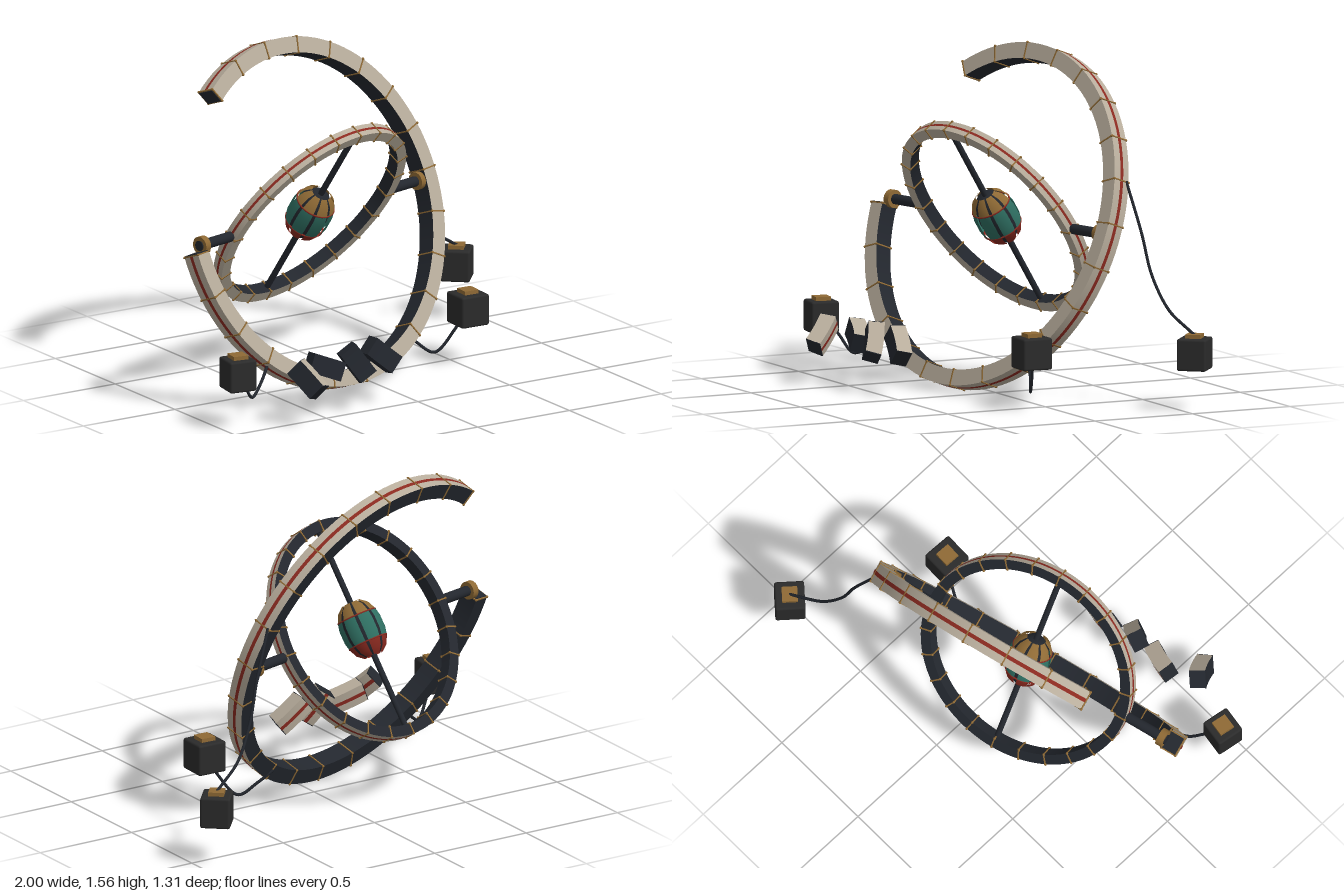
import * as THREE from 'three';
import { RoundedBoxGeometry } from 'three/addons/geometries/RoundedBoxGeometry.js';

const rad = THREE.MathUtils.degToRad;
const mat = (color) => new THREE.MeshStandardMaterial({ color });
const CREAM = mat(0xb8ad9c), DARK = mat(0x23272e), RED = mat(0x8b2a20);
const TEAL = mat(0x2f6f62), BRASS = mat(0x8f6a35), BLOCK = mat(0x2b2b2b);
const V = (x, y, z) => new THREE.Vector3(x, y, z);

function add(parent, name, geometry, material, x = 0, y = 0, z = 0) {
  const m = new THREE.Mesh(geometry, material);
  m.name = name;
  m.position.set(x, y, z);
  parent.add(m);
  return m;
}

function group(parent, name, x = 0, y = 0, z = 0) {
  const g = new THREE.Group();
  g.name = name;
  g.position.set(x, y, z);
  parent.add(g);
  return g;
}

// One curved ring segment in the xy plane: pale front and rim, dark inside and back, red rim stripe
function ringSegment(parent, s, start, length) {
  const { rIn, rOut, d } = s;
  const strip = (name, material, r0, z0, r1, z1) => {
    const pts = [new THREE.Vector2(r0, z0), new THREE.Vector2(r1, z1)];
    const g = new THREE.LatheGeometry(pts, 5, start + Math.PI / 2, length);
    add(parent, name, g.rotateX(Math.PI / 2), material);
  };
  strip('segmentRim', CREAM, rOut, -d, rOut, d);
  strip('segmentFront', CREAM, rOut, d, rIn, d);
  strip('segmentInside', DARK, rIn, d, rIn, -d);
  strip('segmentBack', DARK, rIn, -d, rOut, -d);
  strip('rimStripe', RED, rOut + 0.0015, -d * 0.2, rOut + 0.0015, d * 0.2);
}

// Thin collar wrapped round the section, with a stud at each corner
function seam(parent, s, angle) {
  const g = group(parent, 'seam');
  g.rotation.z = angle;
  const mid = (s.rIn + s.rOut) / 2, w = s.rOut - s.rIn;
  add(g, 'seamCollar', new THREE.BoxGeometry(w + 0.007, 0.006, 2 * s.d + 0.007), BRASS, mid);
  for (const r of [s.rIn, s.rOut]) for (const z of [-s.d, s.d])
    add(g, 'seamStud', new THREE.IcosahedronGeometry(0.007, 0), BRASS, r, 0, z);
}

function ring(parent, s, start, sweep, count) {
  const step = sweep / count;
  for (let i = 0; i < count; i++) {
    ringSegment(parent, s, start + i * step, step);
    seam(parent, s, start + i * step);
  }
}

// Lantern core: dark barrel covered by separate curved panels in three colour bands
function buildCore(parent) {
  const core = group(parent, 'core');
  const n = 8, gap = 0.16;
  const bands = [
    ['lowerPanel', RED, [[0.045, -0.13], [0.075, -0.105], [0.093, -0.066]]],
    ['middlePanel', TEAL, [[0.094, -0.062], [0.101, -0.03], [0.101, 0.03], [0.094, 0.062]]],
    ['upperPanel', BRASS, [[0.093, 0.066], [0.075, 0.105], [0.045, 0.13]]],
  ];
  for (const [name, material, pts] of bands) {
    const panelMat = material.clone();
    panelMat.side = THREE.DoubleSide;
    const profile = pts.map((p) => new THREE.Vector2(p[0], p[1]));
    for (let i = 0; i < n; i++) {
      const a = (i / n) * Math.PI * 2 + gap / 2;
      add(core, name, new THREE.LatheGeometry(profile, 4, a, (Math.PI * 2) / n - gap), panelMat);
    }
  }
  const inner = [[0, -0.125], [0.04, -0.125], [0.075, -0.08], [0.085, 0], [0.075, 0.08], [0.04, 0.125], [0, 0.125]];
  add(core, 'coreBarrel', new THREE.LatheGeometry(inner.map((p) => new THREE.Vector2(p[0], p[1])), 24), DARK);
  for (const y of [-0.064, 0.064]) {
    const hoop = add(core, 'coreHoop', new THREE.TorusGeometry(0.092, 0.004, 6, 32), RED, 0, y, 0);
    hoop.rotation.x = Math.PI / 2;
  }
}

export function createModel() {
  const model = new THREE.Group();
  model.name = 'brokenGimbal';
  const yaw = rad(14);
  const centre = [-0.195, 0.795, -0.105];

  // Broken outer ring
  const outerSize = { rIn: 0.735, rOut: 0.81, d: 0.045 };
  const outer = group(model, 'outerRing', ...centre);
  outer.rotation.set(rad(-20), yaw, 0, 'YXZ');
  const a0 = rad(-177.5), sweep = rad(301.5);
  ring(outer, outerSize, a0, sweep, 20);
  seam(outer, outerSize, a0 + sweep);
  for (const [a, off] of [[a0, -0.003], [a0 + sweep, 0.003]]) {
    const end = group(outer, 'ringEnd');
    end.rotation.z = a;
    add(end, 'endPlate', new THREE.BoxGeometry(0.07, 0.006, 0.085), DARK, 0.7725, off, 0);
  }

  // Complete inner ring with spindle and core
  const inner = group(model, 'innerRing', ...centre);
  inner.rotation.set(rad(33.5), yaw, 0, 'YXZ');
  ring(inner, { rIn: 0.483, rOut: 0.533, d: 0.031 }, 0, Math.PI * 2, 24);
  add(inner, 'spindle', new THREE.CylinderGeometry(0.014, 0.014, 0.98, 12), DARK);
  buildCore(inner);

  // Pivot pins joining the rings
  const pivots = group(model, 'pivots', ...centre);
  pivots.rotation.y = yaw;
  for (const s of [-1, 1]) {
    const pin = add(pivots, 'pivotPin', new THREE.CylinderGeometry(0.024, 0.024, 0.23, 16), DARK, s * 0.63);
    const collar = add(pivots, 'pivotCollar', new THREE.CylinderGeometry(0.042, 0.042, 0.032, 20), BRASS, s * 0.724);
    pin.rotation.z = collar.rotation.z = Math.PI / 2;
  }

  // Anchor blocks with brass top plates
  for (const [x, z, turn, size] of [[-0.93, 0.42, -9, 0.132], [0.54, 0.09, -2, 0.145], [0.903, -0.56, -41, 0.138]]) {
    const block = group(model, 'anchorBlock', x, 0.2, z);
    block.rotation.y = rad(turn);
    add(block, 'blockBody', new RoundedBoxGeometry(size, 0.147, size, 2, 0.01), BLOCK, 0, 0.0735, 0);
    add(block, 'blockPlate', new THREE.BoxGeometry(0.072, 0.02, 0.072), BRASS, 0, 0.155, 0);
  }

  // Slack cables from the ring to the blocks
  const cables = [
    [V(-0.89, 0.24, 0.39), V(-0.855, 0.19, 0.365), V(-0.79, 0.115, 0.325), V(-0.71, 0.16, 0.275), V(-0.63, 0.24, 0.22)],
    [V(0.52, 0.24, 0.08), V(0.485, 0.17, 0.06), V(0.4, 0.07, 0.025), V(0.32, 0.125, -0.015), V(0.25, 0.18, -0.04)],
    [V(0.52, 1.03, -0.405), V(0.605, 0.8, -0.44), V(0.66, 0.61, -0.465), V(0.75, 0.46, -0.505), V(0.86, 0.385, -0.545), V(0.903, 0.36, -0.56)],
  ];
  for (const pts of cables)
    add(model, 'cable', new THREE.TubeGeometry(new THREE.CatmullRomCurve3(pts), 40, 0.007, 8), DARK);

  // Fallen segments: position, long axis, direction of the pale face
  const fallen = [
    [V(-0.64, 0.235, 0.56), V(-13, 24, -24), V(0.5, 1, 0.3)],
    [V(-0.48, 0.245, 0.46), V(-25, 10, -8), V(0.3, 1, -0.1)],
    [V(-0.31, 0.238, 0.465), V(-14, 23, -10), V(0.8, 1, 0.1)],
    [V(-0.15, 0.24, 0.42), V(-22, 19, -5), V(0.5, 1, -0.1)],
  ];
  const half = rad(6), midR = 0.7725;
  for (const [pos, axis, face] of fallen) {
    const t = axis.normalize();
    const f = face.addScaledVector(t, -face.dot(t)).normalize();
    const o = V(0, 0, 0).crossVectors(t, f);
    const piece = group(model, 'fallenSegment', pos.x, pos.y, pos.z);
    piece.quaternion.setFromRotationMatrix(new THREE.Matrix4().makeBasis(o, t, f));
    const body = group(piece, 'fallenBody', -midR, 0, 0);
    ringSegment(body, outerSize, -half, 2 * half);
    for (const s of [-1, 1]) {
      const end = group(body, 'fallenEnd');
      end.rotation.z = s * half;
      add(end, 'endPlate', new THREE.BoxGeometry(0.075, 0.004, 0.09), DARK, midR);
    }
  }
  return model;
}
